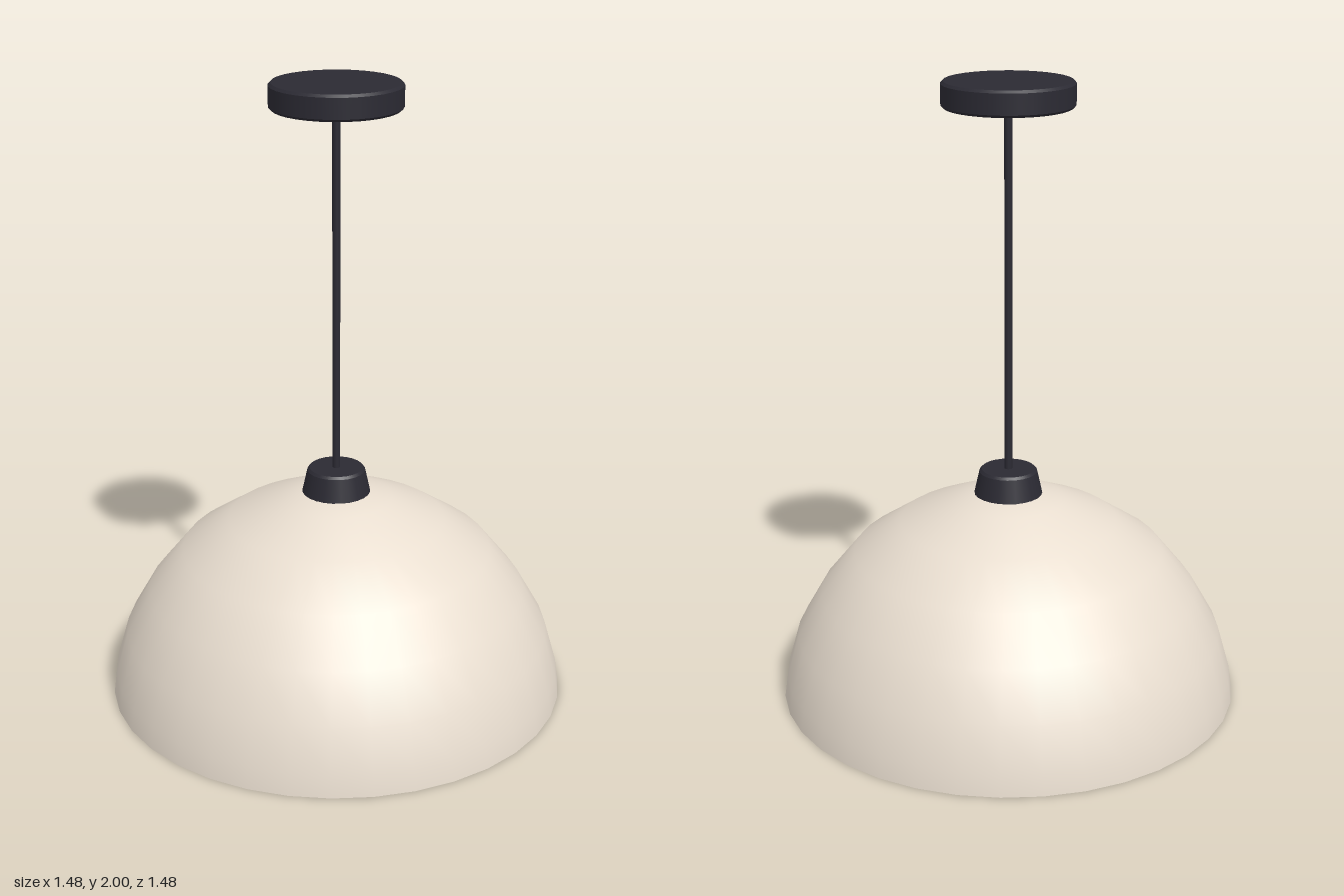
import * as THREE from 'three';

const dark = new THREE.MeshStandardMaterial({ color: 0x2b2a33 });
const cream = new THREE.MeshStandardMaterial({ color: 0xe8ddcf, side: THREE.DoubleSide });
const glass = new THREE.MeshStandardMaterial({ color: 0xfff6e4 });

export function createModel() {
  const group = new THREE.Group();
  const add = (name, geometry, material, y = 0) => {
    const mesh = new THREE.Mesh(geometry, material);
    mesh.name = name;
    mesh.position.y = y;
    group.add(mesh);
  };
  const lathe = (points, segments) =>
    new THREE.LatheGeometry(points.map(([r, y]) => new THREE.Vector2(r, y)), segments);

  // Ceiling canopy: a disc with softened edges
  add('canopy', lathe([
    [0, 1.92], [0.197, 1.92], [0.197, 1.92], [0.205, 1.928], [0.205, 1.928],
    [0.205, 1.992], [0.205, 1.992], [0.197, 2], [0.197, 2], [0, 2],
  ], 32), dark);

  // Hanging rod
  add('rod', new THREE.CylinderGeometry(0.0125, 0.0125, 1.18, 12), dark, 1.34);

  // Tapered collar on top of the shade
  add('collar', lathe([
    [0, 0.675], [0.11, 0.675], [0.11, 0.675], [0.093, 0.752], [0.093, 0.752],
    [0.086, 0.76], [0.086, 0.76], [0, 0.76],
  ], 24), dark);

  // Thin open dome shade
  add('shade', lathe([
    [0.74, 0], [0.73, 0.07], [0.69, 0.21], [0.61, 0.35], [0.5, 0.485],
    [0.35, 0.585], [0.18, 0.66], [0.1, 0.68], [0, 0.69],
  ], 36), cream);

  // Lamp holder and bulb inside the shade
  add('socket', new THREE.CylinderGeometry(0.06, 0.06, 0.2, 20), dark, 0.58);
  add('bulb', new THREE.SphereGeometry(0.17, 24, 16), glass, 0.34);

  return group;
}
